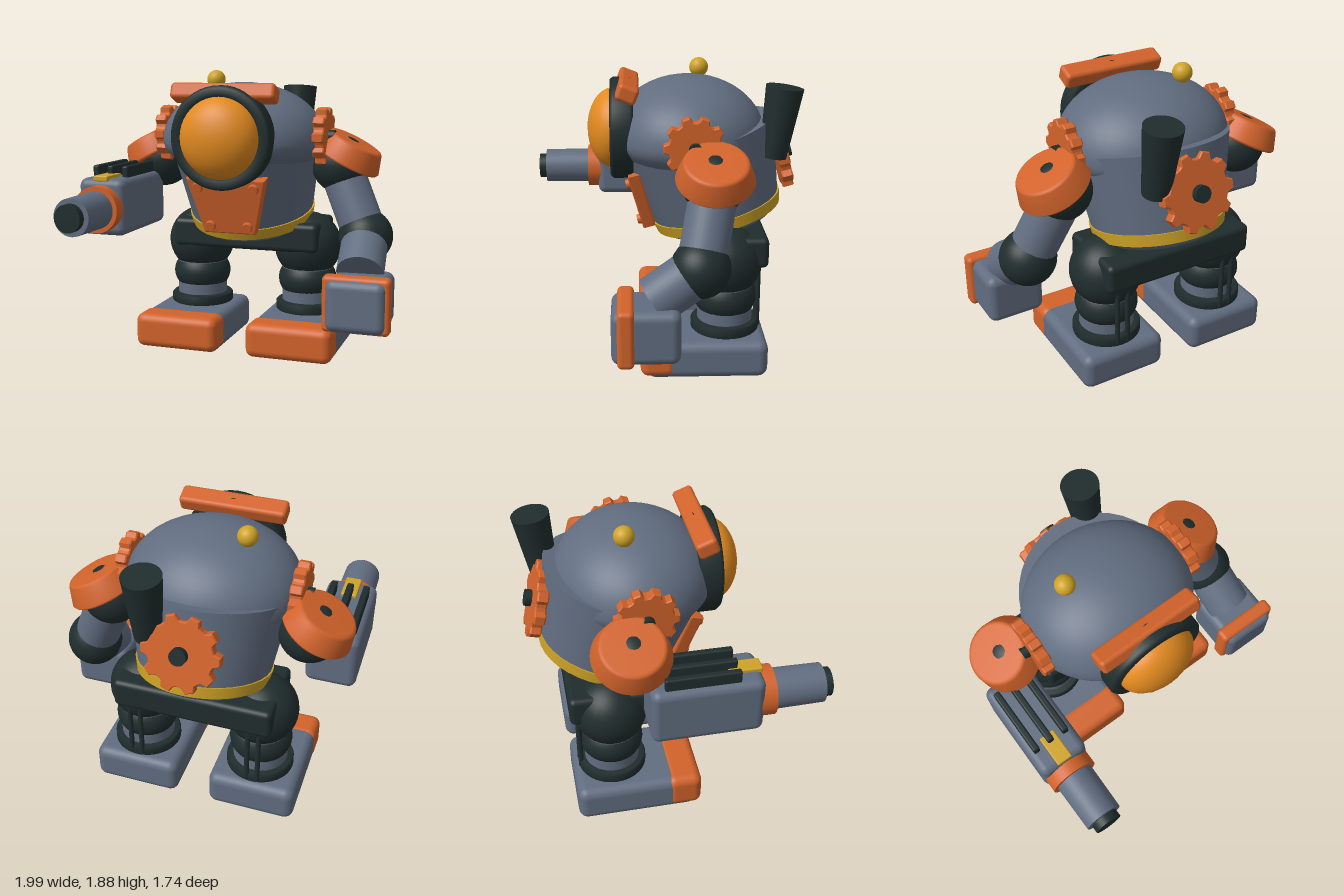
import * as THREE from 'three';
import { RoundedBoxGeometry } from 'three/addons/geometries/RoundedBoxGeometry.js';

const material = (name, color) => {
  const m = new THREE.MeshStandardMaterial({ color });
  m.name = name;
  return m;
};

export function createModel() {
  const steel = material('steel grey', 0x616d80);
  const dark = material('dark rubber', 0x202d2d);
  const orange = material('orange paint', 0xd2632b);
  const yellow = material('yellow trim', 0xcfa326);
  const amber = material('amber glass', 0xe28a1f);

  const model = new THREE.Group();
  model.name = 'heavyRobot';
  // The body is symmetrical about its own centre line, a little right of the origin
  const body = new THREE.Group();
  body.name = 'body';
  body.position.x = -0.08;
  model.add(body);

  const add = (parent, name, geo, mat, x = 0, y = 0, z = 0, rx = 0) => {
    const mesh = new THREE.Mesh(geo, mat);
    mesh.name = name;
    mesh.position.set(x, y, z);
    mesh.rotation.x = rx;
    parent.add(mesh);
    return mesh;
  };
  const box = (w, h, d, r = 0.04) => new RoundedBoxGeometry(w, h, d, 4, r);
  const ball = (r) => new THREE.SphereGeometry(r, 32, 20);
  const cyl = (top, bottom, h) => new THREE.CylinderGeometry(top, bottom, h, 36);
  const lathe = (pts) => new THREE.LatheGeometry(pts.map(([r, y]) => new THREE.Vector2(r, y)), 48);
  // Cylinder between two points
  const rod = (parent, name, mat, a, b, ra, rb = ra) => {
    const from = new THREE.Vector3(...a), to = new THREE.Vector3(...b);
    const dir = to.clone().sub(from);
    const mesh = add(parent, name, cyl(rb, ra, dir.length()), mat);
    mesh.position.copy(from).addScaledVector(dir, 0.5);
    mesh.quaternion.setFromUnitVectors(new THREE.Vector3(0, 1, 0), dir.normalize());
    return mesh;
  };

  // Torso: tapered barrel leaning forward
  const LEAN = 0.265;
  const torso = new THREE.Group();
  torso.name = 'torso';
  torso.position.set(0, 0.89, -0.37);
  torso.rotation.x = LEAN;
  body.add(torso);
  add(torso, 'barrel', cyl(0.505, 0.41, 0.56), steel, 0, 0.28, 0);
  add(torso, 'waistBand', cyl(0.432, 0.418, 0.075), yellow, 0, 0.03, 0);
  add(torso, 'belly', lathe([[0, -0.1], [0.15, -0.094], [0.28, -0.075], [0.36, -0.045], [0.405, 0]]), steel);

  // Rounded hood, fuller above its widest line than below
  const hoodPoints = [];
  for (let i = 0; i <= 28; i++) {
    const a = -Math.PI / 2 + (i / 28) * Math.PI;
    hoodPoints.push([Math.max(0, Math.cos(a)), Math.sin(a) * (a > 0 ? 0.38 : 0.24)]);
  }
  add(body, 'hood', lathe(hoodPoints), steel, 0, 1.42, -0.17).scale.set(0.545, 1, 0.49);
  add(body, 'beacon', ball(0.062), yellow, -0.225, 1.815, -0.25);

  // Eye: dark rim around a domed glass
  const rim = lathe([[0.25, -0.1], [0.31, -0.1], [0.325, -0.08], [0.325, 0.025], [0.31, 0.045],
    [0.265, 0.045], [0.25, 0.03], [0.25, -0.1]]);
  add(body, 'eyeRim', rim, dark, 0, 1.462, 0.285, Math.PI / 2);
  add(body, 'eyeGlass', ball(1), amber, 0, 1.462, 0.31).scale.set(0.257, 0.257, 0.168);
  add(body, 'browBar', box(0.685, 0.105, 0.13, 0.025), orange, 0, 1.735, 0.22, -0.38);

  // Chest plate with four bolts
  const plate = new THREE.Group();
  plate.name = 'chestPlate';
  plate.position.set(0, 1.025, 0.135);
  plate.rotation.x = LEAN;
  body.add(plate);
  const plateShape = new THREE.Shape([[-0.165, -0.18], [0.165, -0.18], [0.255, 0.18], [-0.255, 0.18]]
    .map(([x, y]) => new THREE.Vector2(x, y)));
  add(plate, 'platePanel', new THREE.ExtrudeGeometry(plateShape, {
    depth: 0.06, bevelThickness: 0.01, bevelSize: 0.01, bevelSegments: 2 }), orange, 0, 0, -0.03);
  for (const s of [-1, 1]) {
    for (const [x, y] of [[0.187, 0.13], [0.125, -0.135]]) {
      add(plate, 'bolt', cyl(0.03, 0.036, 0.03), orange, s * x, y, 0.05, Math.PI / 2);
    }
  }

  // Gear wheel with flared teeth, facing +z
  const gear = (name, r, depth) => {
    const g = new THREE.Group();
    g.name = name;
    const shape = new THREE.Shape();
    const teeth = 10, steps = [[-0.5, 0.83], [-0.3, 0.85], [-0.2, 0.95], [-0.16, 1], [0.16, 1], [0.2, 0.95], [0.3, 0.85]];
    for (let i = 0; i < teeth; i++) {
      steps.forEach(([f, k], j) => {
        const a = ((i + f) / teeth) * Math.PI * 2;
        const x = Math.cos(a) * r * k, y = Math.sin(a) * r * k;
        if (i + j === 0) shape.moveTo(x, y); else shape.lineTo(x, y);
      });
    }
    shape.closePath();
    add(g, 'gearWheel', new THREE.ExtrudeGeometry(shape, {
      depth: depth - 0.016, bevelThickness: 0.008, bevelSize: 0.006, bevelSegments: 1 }), orange, 0, 0, 0.008 - depth / 2);
    add(g, 'gearHub', cyl(r * 0.22, r * 0.22, depth + 0.06), dark, 0, 0, 0.01, Math.PI / 2);
    return g;
  };
  const backGear = gear('backGear', 0.235, 0.07);
  backGear.position.set(0, 1.3, -0.765);
  backGear.rotation.set(LEAN, Math.PI, 0, 'XYZ');
  body.add(backGear);
  rod(body, 'exhaustPipe', dark, [0.228, 1.32, -0.69], [0.228, 1.76, -0.75], 0.085, 0.118);

  // Hips
  add(body, 'pelvis', box(1.02, 0.195, 0.5, 0.035), dark, 0, 0.77, -0.4);

  for (const s of [-1, 1]) {
    const side = s > 0 ? 'left' : 'right';
    // Leg and foot
    const leg = new THREE.Group();
    leg.name = side + 'Leg';
    leg.position.set(s * 0.39, 0, -0.39);
    body.add(leg);
    add(leg, 'thigh', ball(0.23), dark, 0, 0.69, 0);
    add(leg, 'shin', cyl(0.175, 0.175, 0.4), steel, 0, 0.42, 0);
    add(leg, 'knee', ball(0.2), dark, 0, 0.46, 0).scale.y = 0.8;
    add(leg, 'ankleRing', lathe([[0.1, -0.04], [0.205, -0.04], [0.217, -0.028], [0.217, 0.02],
      [0.205, 0.034], [0.1, 0.034]]), dark, 0, 0.275, 0);
    for (const x of [-0.035, 0.035]) {
      rod(leg, 'piston', dark, [x, 0.26, -0.205], [x, 0.72, -0.205], 0.016);
    }
    add(leg, 'foot', box(0.565, 0.24, 0.76, 0.06), steel, 0, 0.12, 0.125);
    add(leg, 'toeCap', box(0.577, 0.23, 0.225, 0.055), orange, 0, 0.13, 0.43);

    // Shoulder
    const shoulder = new THREE.Group();
    shoulder.name = side + 'Shoulder';
    body.add(shoulder);
    add(shoulder, 'shoulderJoint', ball(0.19), dark, s * 0.63, 1.265, -0.285);
    const pad = add(shoulder, 'shoulderPad', lathe([[0, -0.075], [0.2, -0.075], [0.225, -0.07], [0.235, -0.055],
      [0.195, 0.06], [0.185, 0.072], [0.17, 0.076], [0, 0.076]]), orange, s * 0.697, 1.353, -0.29);
    pad.rotation.z = -s * 0.48;
    const sideGear = gear(side + 'Gear', 0.183, 0.075);
    sideGear.position.set(s * 0.54, 1.455, -0.18);
    sideGear.rotation.y = s * Math.PI / 2;
    shoulder.add(sideGear);
  }

  // Left arm with a block fist
  const arm = new THREE.Group();
  arm.name = 'leftArm';
  model.add(arm);
  rod(arm, 'upperArm', steel, [0.54, 1.27, -0.295], [0.745, 0.81, -0.2], 0.145);
  add(arm, 'elbow', ball(0.178), dark, 0.745, 0.81, -0.2);
  rod(arm, 'forearm', steel, [0.745, 0.81, -0.2], [0.765, 0.62, 0.07], 0.15);
  add(arm, 'fist', box(0.375, 0.33, 0.405, 0.055), steel, 0.78, 0.455, 0.122);
  add(arm, 'fistFrame', box(0.425, 0.357, 0.1, 0.03), orange, 0.78, 0.462, 0.24);

  // Right arm cannon
  const cannon = new THREE.Group();
  cannon.name = 'rightArmCannon';
  cannon.position.set(-0.84, 1.008, 0);
  model.add(cannon);
  add(cannon, 'cannonBody', box(0.32, 0.365, 0.66, 0.05), steel, 0, 0.005, 0.11);
  add(cannon, 'cannonCollar', cyl(0.15, 0.15, 0.1), orange, 0, 0, 0.465, Math.PI / 2);
  add(cannon, 'barrel', cyl(0.118, 0.122, 0.34), steel, 0, 0, 0.65, Math.PI / 2);
  add(cannon, 'muzzle', cyl(0.087, 0.087, 0.1), dark, 0, 0, 0.82, Math.PI / 2);
  for (const x of [-0.102, 0, 0.104]) {
    add(cannon, 'coolingRail', box(0.042, 0.09, 0.44, 0.012), dark, x, 0.213, 0.08);
  }
  add(cannon, 'sightPlate', box(0.1, 0.035, 0.2, 0.008), yellow, 0, 0.19, 0.34);

  return model;
}
